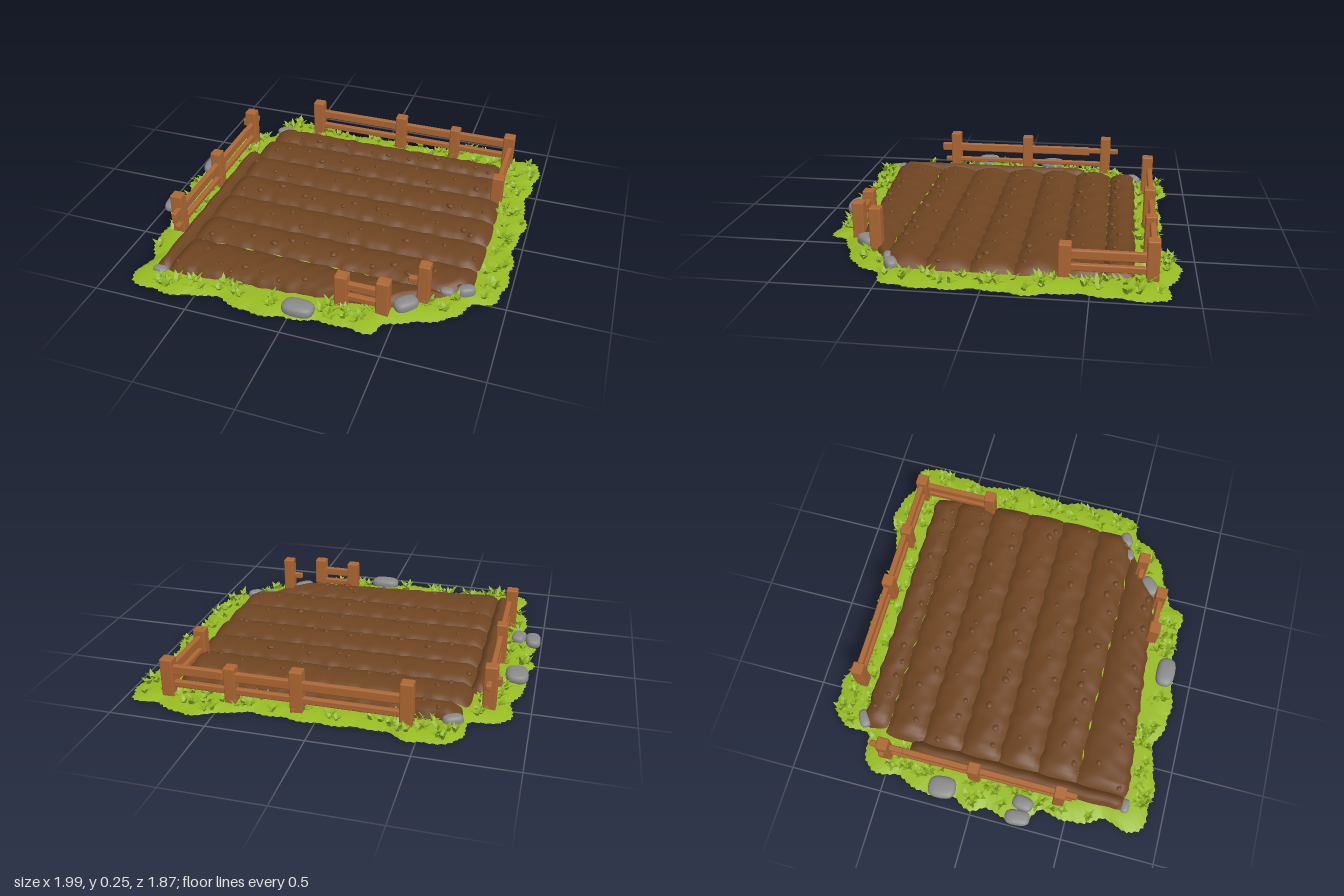
import * as THREE from 'three';
import { mergeGeometries } from 'three/addons/utils/BufferGeometryUtils.js';
import { RoundedBoxGeometry } from 'three/addons/geometries/RoundedBoxGeometry.js';

const mat = (name, color, side = THREE.FrontSide) => {
  const m = new THREE.MeshStandardMaterial({ color, side });
  m.name = name;
  return m;
};

// Small seeded random source
let seed = 7;
const rnd = (a = 0, b = 1) => {
  seed = (seed * 16807) % 2147483647;
  return a + (b - a) * (seed / 2147483647);
};

// Surface lattice from a function of two parameters
function grid(nI, nJ, f) {
  const pos = [], idx = [], w = nI + 1;
  for (let j = 0; j <= nJ; j++) for (let i = 0; i <= nI; i++) pos.push(...f(i / nI, j / nJ, j));
  for (let j = 0; j < nJ; j++) for (let i = 0; i < nI; i++) {
    const a = j * w + i, c = a + w;
    idx.push(a, c + 1, c, a, a + 1, c + 1);
  }
  const g = new THREE.BufferGeometry();
  g.setAttribute('position', new THREE.Float32BufferAttribute(pos, 3));
  g.setIndex(idx);
  g.computeVertexNormals();
  return g;
}

// Outline of the turf (x, z)
const OUTLINE = [[-0.68, -0.82], [-0.46, -0.88], [-0.34, -0.83], [0, -0.84], [0.36, -0.83], [0.5, -0.88],
  [0.63, -0.92], [0.78, -0.86], [0.95, -0.83], [0.95, -0.6], [0.93, -0.4], [0.97, -0.2], [0.94, 0], [0.96, 0.2],
  [0.92, 0.47], [0.81, 0.53], [0.76, 0.63], [0.6, 0.72], [0.46, 0.78], [0.41, 0.86], [0.2, 0.86], [-0.2, 0.91],
  [-0.4, 0.86], [-0.6, 0.91], [-0.86, 0.86], [-0.83, 0.7], [-0.89, 0.52], [-0.87, 0.36], [-0.97, 0.25],
  [-0.93, 0.1], [-0.96, 0], [-0.92, -0.13], [-0.94, -0.27], [-0.89, -0.4], [-0.88, -0.6], [-0.71, -0.66]];
const curve = new THREE.CatmullRomCurve3(OUTLINE.map(([x, z]) => new THREE.Vector3(x, 0, z)), true, 'centripetal');

// Limits of the ploughed soil
const RIGHT = [[-0.72, 0.78], [-0.5, 0.82], [0, 0.84], [0.44, 0.83], [0.51, 0.75], [0.62, 0.57], [0.72, 0.46], [0.85, 0.4]];
const xL = z => (z < -0.56 ? -0.69 : -0.715);
function xR(z) {
  for (let k = 1; k < RIGHT.length; k++) if (z <= RIGHT[k][0]) {
    const [a, b] = [RIGHT[k - 1], RIGHT[k]];
    return THREE.MathUtils.lerp(a[1], b[1], Math.max(0, (z - a[0]) / (b[0] - a[0])));
  }
  return 0.4;
}
const zFront = x => 0.81 - (x + 0.78) * 0.075;
const inSoil = (x, z) => z > -0.7 && z < zFront(x) && x > (z > -0.42 ? -0.785 : -0.72) && x < xR(z);

// Stones: x, z, width, depth, height, turn
const STONES = [[-0.9, -0.18, 0.115, 0.145, 0.065, 0.1], [-0.952, 0.25, 0.08, 0.13, 0.06, 0.1], [-0.872, 0.26, 0.075, 0.11, 0.065, -0.15],
  [0.04, 0.85, 0.16, 0.1, 0.07, 0], [0.53, 0.655, 0.125, 0.08, 0.07, 0.8], [0.79, 0.465, 0.09, 0.06, 0.065, 0.5],
  [0.7, 0.5, 0.07, 0.05, 0.055, 0.2], [-0.745, 0.79, 0.075, 0.045, 0.045, 0], [-0.645, -0.7, 0.1, 0.06, 0.06, 0.5]];
const onStone = (x, z) => STONES.some(([sx, sz, w, d]) => Math.abs(x - sx) < w * 0.6 && Math.abs(z - sz) < d * 0.6);

export function createModel() {
  seed = 7;
  const root = new THREE.Group();
  root.name = 'fencedFarmPlot';
  const grass = mat('grass green', 0x97bb22);
  const blade = mat('blade green', 0x8fb522, THREE.DoubleSide);
  const soil = mat('ploughed soil', 0x6e4421);
  const under = mat('dark earth', 0x5f3c1f);
  const wood = mat('fence wood', 0xae6733);
  const stone = mat('grey stone', 0x8a8a8a);
  const add = (name, geo, m, parent = root) => {
    const mesh = new THREE.Mesh(geo, m);
    mesh.name = name;
    parent.add(mesh);
    return mesh;
  };

  // Turf with a ragged edge, its lower rim and its earth underside
  const N = 400;
  const edge = curve.getSpacedPoints(N).map((p, i) => {
    const k = 1.008 + 0.018 * Math.abs(Math.sin(i * Math.PI / 10)) - (i % 2) * 0.009;
    return [p.x * k, p.z * k];
  });
  const rings = list => grid(N, list.length - 1, (u, v, j) => {
    const [x, z] = edge[Math.round(u * N) % N], [s, y] = list[j];
    return [x * s, y, z * s];
  });
  add('turf', rings([[0, 0.018], [0.8, 0.02], [0.89, 0.03], [0.95, 0.022], [1, 0.005]]), grass);
  add('turfUnderRim', rings([[1, 0.005], [0.95, 0]]), grass);
  add('earthUnderside', rings([[0.95, 0], [0, 0]]), under);

  // Ploughed rows: rounded ridges that taper at both ends
  const ROWS = [-0.71, -0.56, -0.35, -0.14, 0.075, 0.295, 0.51, 0.8];
  const clods = [];
  for (let r = 0; r < ROWS.length - 1; r++) {
    const last = r === ROWS.length - 2;
    const at = (u, v) => {
      const mid = THREE.MathUtils.lerp(-0.73, last ? 0.6 : 0.82, v);
      const wob = 0.004 * Math.sin(mid * 40 + r + u) + 0.003 * Math.sin(mid * 73);
      const z1 = last ? zFront(mid) : ROWS[r + 1];
      const z = THREE.MathUtils.lerp(ROWS[r], z1, u) + wob;
      const x = THREE.MathUtils.lerp(xL(ROWS[r]+0.001), xR(z), v);
      const low = (r === 0 && u === 0) || (last && u === 1) ? 0.008 : 0.04;
      const end = Math.min(1, Math.min(v, 1 - v) / 0.05);
      const bump = 0.003 * Math.sin(x * 43 + r * 2) * Math.sin(u * 9 + x * 17);
      const hump = Math.pow(Math.max(0, Math.sin(Math.PI * u)), 0.65);
      return [x, 0.008 + Math.sqrt(end) * (low - 0.008 + (0.076 - low) * hump + bump * hump), z];
    };
    add('soilRow', grid(12, 60, at), soil);
    for (let k = 0; k < 13; k++) {
      const [x, y, z] = at(rnd(0.3, 0.85), (k + rnd(0.2, 0.9)) / 13.5 + 0.02);
      const s = rnd(0.01, 0.019);
      clods.push(new THREE.IcosahedronGeometry(1, 1).scale(s * 1.2, s * 0.7, s).rotateY(rnd(0, 6)).translate(x, y, z));
    }
  }
  add('soilClods', mergeGeometries(clods), soil);

  // Earth bank along the left ends of the rows
  add('soilBank', grid(40, 8, (u, v) => {
    const z = -0.42 + 1.22 * u, end = Math.sqrt(Math.min(1, Math.min(u, 1 - u) / 0.05));
    return [-0.782 - 0.006 * u + 0.105 * v + 0.003 * Math.sin(z * 30), 0.01 + 0.055 * end * Math.sin(Math.PI * v), z];
  }), soil);

  // Grass tufts: fans of broad, bent blades
  const bp = [];
  for (let t = 0, tries = 0; t < 210 && tries < 5000; tries++) {
    const [ex, ez] = edge[Math.floor(rnd(0, N))], s = rnd(0.8, 0.97);
    const x = ex * s, z = ez * s;
    if (inSoil(x, z) || onStone(x, z)) continue;
    t++;
    const turn = rnd(0, 6.283);
    for (let k = 0; k < 5; k++) {
      const a = turn + k * 1.257 + rnd(-0.3, 0.3), h = rnd(0.02, 0.055), out = rnd(0.025, 0.05), w = rnd(0.008, 0.012);
      const c = Math.cos(a), d = Math.sin(a);
      const P = (o, y, q) => [x + c * o - d * q, y, z + d * o + c * q];
      const A = P(0, 0.014, -w), B = P(0, 0.014, w), C = P(out * 0.45, 0.014 + h * 0.65, w), D = P(out * 0.45, 0.014 + h * 0.65, -w);
      bp.push(...A, ...B, ...C, ...A, ...C, ...D, ...D, ...C, ...P(out, 0.014 + h, 0));
    }
  }
  const blades = new THREE.BufferGeometry();
  blades.setAttribute('position', new THREE.Float32BufferAttribute(bp, 3));
  blades.computeVertexNormals();
  add('grassTufts', blades, blade);

  // Fence posts: x, z, height
  const fence = new THREE.Group();
  fence.name = 'fence';
  root.add(fence);
  const box = (name, w, h, d, x, y, z) =>
    add(name, new RoundedBoxGeometry(w, h, d, 1, 0.007), wood, fence).position.set(x, y, z);
  [[-0.435, -0.775, 0.25], [0.105, -0.778, 0.24], [0.445, -0.78, 0.215], [0.775, -0.785, 0.222],
    [0.785, -0.375, 0.19], [-0.795, -0.52, 0.253], [-0.795, -0.025, 0.247], [-0.803, 0.44, 0.253],
    [0.225, 0.728, 0.203], [0.433, 0.722, 0.213], [0.6, 0.583, 0.25],
  ].forEach(([x, z, h], i) => box('fencePost', i % 4 === 2 ? 0.06 : 0.066, h, 0.062, x, h / 2 + 0.002, z));

  // Rails along x: start, end, y, height, z
  [[-0.45, 0.8, 0.165, 0.05, -0.788], [-0.43, 0.78, 0.085, 0.035, -0.785],
    [0.22, 0.45, 0.138, 0.046, 0.725], [0.22, 0.44, 0.07, 0.035, 0.725],
    [0.52, 0.6, 0.145, 0.034, 0.585], [-0.85, -0.79, 0.172, 0.045, -0.52],
  ].forEach(([a, b, y, h, z]) => box('fenceRail', b - a, h, 0.03, (a + b) / 2, y, z));

  // Rails along z: start, end, y, height, x
  [[-0.42, 0.53, 0.163, 0.05, -0.79], [-0.6, -0.3, 0.168, 0.032, -0.79], [-0.5, 0.51, 0.083, 0.028, -0.79],
    [-0.79, -0.35, 0.135, 0.048, 0.785], [-0.78, -0.37, 0.07, 0.035, 0.785],
  ].forEach(([a, b, y, h, x]) => box('fenceRail', 0.03, h, b - a, x, y, (a + b) / 2));

  // Rounded stones
  const soft = v => Math.sign(v) * Math.pow(Math.abs(v), 0.7);
  STONES.forEach(([x, z, w, d, h, turn]) => {
    const g = new THREE.SphereGeometry(1, 20, 12);
    const p = g.attributes.position;
    for (let i = 0; i < p.count; i++) {
      p.setXYZ(i, soft(p.getX(i)) * w * 0.52, soft(p.getY(i)) * h * 0.47, soft(p.getZ(i)) * d * 0.52);
    }
    g.computeVertexNormals();
    const m = add('stone', g, stone);
    m.position.set(x, h * 0.55, z);
    m.rotation.y = turn;
  });

  return root;
}
